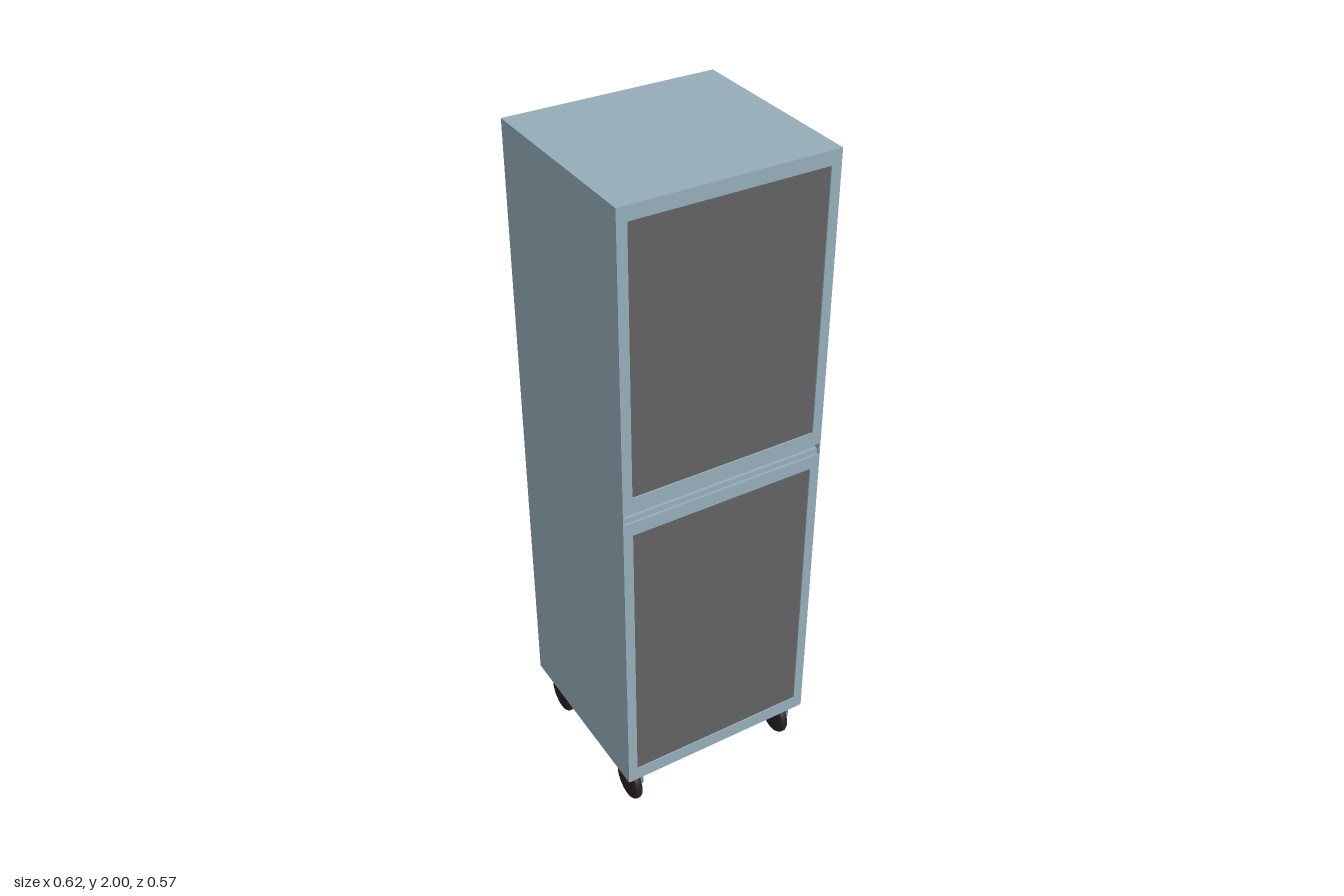
import * as THREE from 'three';

const mat = (name, color) => {
  const m = new THREE.MeshStandardMaterial({ color });
  m.name = name;
  return m;
};

export function createModel() {
  const blue = mat('cabinet blue', 0x95adb9);
  const charcoal = mat('door charcoal', 0x626262);
  const grey = mat('caster grey', 0x85888a);
  const rubber = mat('wheel rubber', 0x2b2222);

  const group = new THREE.Group();
  group.name = 'rollingCabinet';
  const add = (parent, name, geometry, material, x = 0, y = 0, z = 0) => {
    const mesh = new THREE.Mesh(geometry, material);
    mesh.name = name;
    mesh.position.set(x, y, z);
    parent.add(mesh);
    return mesh;
  };
  const box = (w, h, d) => new THREE.BoxGeometry(w, h, d);

  const W = 0.308, D = 0.286, bottom = 0.142, top = 2, depth = 0.016;
  const rect = (Type, w, y0, y1) => {
    const p = new Type();
    p.moveTo(-w, y0);
    p.lineTo(w, y0);
    p.lineTo(w, y1);
    p.lineTo(-w, y1);
    p.closePath();
    return p;
  };

  // Cabinet shell behind the front frame
  add(group, 'cabinetBody', box(2 * W, top - bottom, 2 * D - depth), blue, 0, (top + bottom) / 2, -depth / 2);

  // Front frame with two door openings and the handle slot
  const doors = [[0.185, 1.067], [1.187, 1.96]];
  const frame = rect(THREE.Shape, W, bottom, top);
  doors.forEach(([a, b]) => frame.holes.push(rect(THREE.Path, 0.279, a, b)));
  frame.holes.push(rect(THREE.Path, 0.303, 1.108, 1.144));
  add(group, 'frontFrame', new THREE.ExtrudeGeometry(frame, { depth, bevelEnabled: false }), blue, 0, 0, D - depth);

  // Slightly recessed door panels
  doors.forEach(([a, b], i) =>
    add(group, i ? 'upperDoorPanel' : 'lowerDoorPanel', box(0.558, b - a, 0.012), charcoal, 0, (a + b) / 2, D - 0.010));

  // Handle ledge and the dark gap above it
  add(group, 'handleLedge', box(0.606, 0.016, 0.009), blue, 0, 1.116, D - depth + 0.0045);
  add(group, 'handleGap', box(0.606, 0.007, 0.004), charcoal, 0, 1.1405, D - depth + 0.002);

  // Four identical casters, each with a fork plate on its +x side
  const profile = [[0, -0.014], [0.046, -0.014], [0.056, -0.011], [0.06, -0.005],
    [0.06, 0.005], [0.056, 0.011], [0.046, 0.014], [0, 0.014]].map(([r, y]) => new THREE.Vector2(r, y));
  const wheelGeo = new THREE.LatheGeometry(profile, 28).rotateZ(-Math.PI / 2);
  for (const x of [-0.264, 0.263]) {
    for (const z of [-0.213, 0.213]) {
      const caster = new THREE.Group();
      caster.name = 'caster';
      caster.position.set(x, 0, z);
      add(caster, 'wheel', wheelGeo, rubber, 0, 0.06, 0);
      add(caster, 'forkTop', box(0.046, 0.03, 0.08), grey, 0, 0.128, 0);
      add(caster, 'forkPlate', box(0.008, 0.07, 0.08), grey, 0.019, 0.107, 0);
      group.add(caster);
    }
  }
  return group;
}
